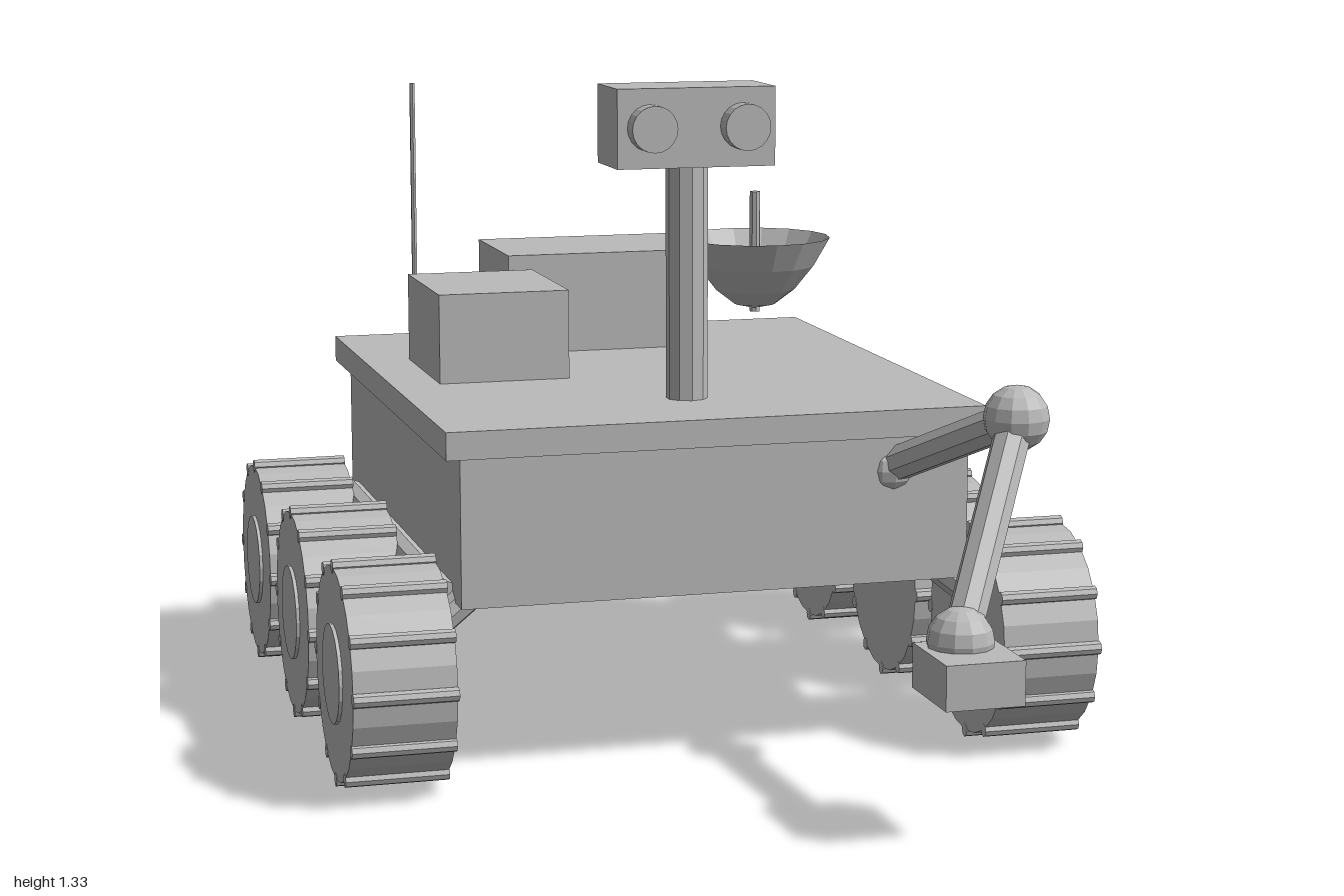
import * as THREE from 'three';

export function createModel() {
  const rover = new THREE.Group();
  rover.name = 'rover';
  const grey = new THREE.MeshStandardMaterial({ color: 0xbababa, flatShading: true, side: THREE.DoubleSide });
  grey.name = 'grey metal';

  const add = (name, geometry, x, y, z, parent = rover) => {
    const mesh = new THREE.Mesh(geometry, grey);
    mesh.name = name;
    mesh.position.set(x, y, z);
    parent.add(mesh);
    return mesh;
  };
  // Box given by its limits on each axis
  const box = (name, x0, x1, y0, y1, z0, z1) =>
    add(name, new THREE.BoxGeometry(x1 - x0, y1 - y0, z1 - z0), (x0 + x1) / 2, (y0 + y1) / 2, (z0 + z1) / 2);
  // Cylinder between two points
  const rod = (name, a, b, r, sides = 8, parent = rover) => {
    const from = new THREE.Vector3(...a), to = new THREE.Vector3(...b);
    const dir = to.clone().sub(from);
    const mid = from.clone().add(to).multiplyScalar(0.5);
    const mesh = add(name, new THREE.CylinderGeometry(r, r, dir.length(), sides), mid.x, mid.y, mid.z, parent);
    mesh.quaternion.setFromUnitVectors(new THREE.Vector3(0, 1, 0), dir.normalize());
    return mesh;
  };
  const ball = (name, p, r) => add(name, new THREE.SphereGeometry(r, 12, 8), ...p);

  // Chassis and deck
  box('chassis', -0.515, 0.515, 0.36, 0.655, -0.86, 0.34);
  box('deck', -0.545, 0.545, 0.655, 0.71, -0.88, 0.357);

  // Equipment boxes and whip antenna
  box('rearEquipmentBox', -0.222, 0.218, 0.71, 0.925, -0.833, -0.53);
  box('sideEquipmentBox', -0.446, -0.172, 0.71, 0.895, -0.517, -0.183);
  rod('whipAntenna', [-0.395, 0.71, -0.705], [-0.395, 1.29, -0.705], 0.006, 6);

  // Camera mast and head
  rod('mast', [0, 0.71, 0.105], [0, 1.18, 0.105], 0.042, 10);
  box('cameraHead', -0.162, 0.16, 1.18, 1.337, 0.025, 0.18);
  for (const x of [-0.096, 0.093]) rod('cameraEye', [x, 1.26, 0.17], [x, 1.26, 0.22], 0.046, 20);

  // Dish antenna with its feed rod
  const dishProfile = [[0, 0.797], [0.045, 0.807], [0.088, 0.84], [0.13, 0.893], [0.165, 0.955]]
    .map(([r, y]) => new THREE.Vector2(r, y));
  add('dish', new THREE.LatheGeometry(dishProfile, 16), 0.322, 0, -0.48);
  rod('dishFeed', [0.322, 0.79, -0.48], [0.322, 1.055, -0.48], 0.012, 8);

  // Jointed arm with a square hand
  const shoulder = [0.36, 0.585, 0.3], elbow = [0.5, 0.735, 0.63], wrist = [0.303, 0.373, 0.868];
  ball('shoulder', shoulder, 0.055);
  rod('upperArm', shoulder, elbow, 0.036);
  ball('elbow', elbow, 0.064);
  rod('forearm', elbow, wrist, 0.036);
  ball('wrist', wrist, 0.064);
  box('hand', 0.228, 0.38, 0.278, 0.363, 0.82, 0.998);

  // Running gear on each side
  const wheelY = 0.23;
  const wheelZ = [0.257, -0.259, -0.773];
  for (const s of [-1, 1]) {
    rod('rockerBar', [s * 0.53, 0.37, wheelZ[0]], [s * 0.53, 0.37, wheelZ[2]], 0.03);
    for (const z of wheelZ) {
      rod('strut', [s * 0.46, 0.385, z], [s * 0.65, wheelY, z], 0.03);
      const wheel = new THREE.Group();
      wheel.name = 'wheel';
      wheel.position.set(s * 0.65, wheelY, z);
      rover.add(wheel);
      rod('tyre', [-0.1, 0, 0], [0.1, 0, 0], 0.211, 24, wheel);
      rod('hub', [0, 0, 0], [s * 0.107, 0, 0], 0.098, 20, wheel);
      // Round tread lugs
      for (let i = 0; i < 12; i++) {
        const a = (i / 12) * Math.PI * 2;
        const y = Math.sin(a) * 0.212, dz = Math.cos(a) * 0.212;
        rod('treadLug', [-0.101, y, dz], [0.101, y, dz], 0.014, 8, wheel);
      }
    }
  }
  return rover;
}
